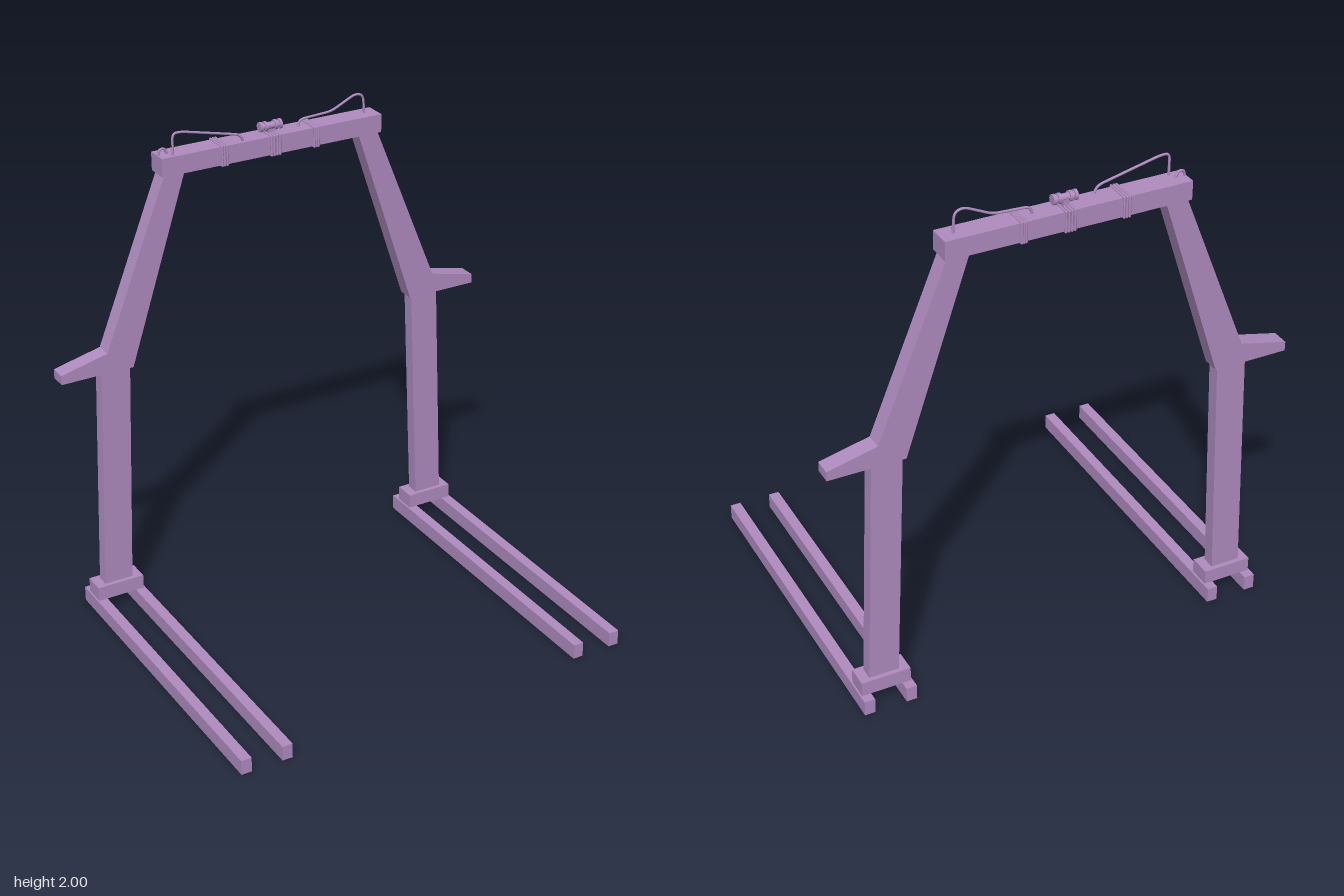
import * as THREE from 'three';

const Z = -0.603; // plane of the arch
const material = new THREE.MeshStandardMaterial({ color: 0xb08cc0, flatShading: true });
const smooth = new THREE.MeshStandardMaterial({ color: 0xb08cc0 });

function add(parent, name, geometry, mat = material) {
  const mesh = new THREE.Mesh(geometry, mat);
  mesh.name = name;
  parent.add(mesh);
  return mesh;
}

function box(parent, name, w, h, d, x, y, z) {
  add(parent, name, new THREE.BoxGeometry(w, h, d)).position.set(x, y, z);
}

// Flat outline in x/y given thickness about the arch plane
function plate(parent, name, points, depth, side) {
  const outline = points.map(([x, y]) => new THREE.Vector2(x * side, y));
  const g = new THREE.ExtrudeGeometry(new THREE.Shape(outline), { depth, bevelEnabled: false });
  g.translate(0, 0, Z - depth / 2);
  add(parent, name, g);
}

// Thin cable through points, with rounded bends
function cable(parent, name, points, z, radius) {
  const pts = points.map(([x, y]) => new THREE.Vector3(x, y, z));
  const path = new THREE.CurvePath();
  let last = pts[0];
  for (let i = 1; i < pts.length - 1; i++) {
    const p = pts[i];
    const bend = (q) => p.clone().lerp(q, Math.min(0.45, 0.025 / p.distanceTo(q)));
    const a = bend(pts[i - 1]), b = bend(pts[i + 1]);
    path.add(new THREE.LineCurve3(last, a));
    path.add(new THREE.QuadraticBezierCurve3(a, p, b));
    last = b;
  }
  path.add(new THREE.LineCurve3(last, pts[pts.length - 1]));
  add(parent, name, new THREE.TubeGeometry(path, 60, radius, 8), smooth);
}

// Rope loops wound around the beam
function wrap(parent, x, loops, pitch) {
  const group = new THREE.Group();
  group.name = 'ropeWrap';
  const r = 0.005, h = 0.039, d = 0.049;
  for (let i = 0; i < loops; i++) {
    const lx = x + (i - (loops - 1) / 2) * pitch;
    for (const s of [-1, 1]) {
      const across = add(group, 'ropeAcross', new THREE.CylinderGeometry(r, r, d * 2, 8), smooth);
      across.rotation.x = Math.PI / 2;
      across.position.set(lx, 1.8725 + s * h, Z);
      const down = add(group, 'ropeDown', new THREE.CylinderGeometry(r, r, h * 2, 8), smooth);
      down.position.set(lx, 1.8725, Z + s * d);
      for (const t of [-1, 1]) {
        const corner = add(group, 'ropeCorner', new THREE.SphereGeometry(r, 8, 6), smooth);
        corner.position.set(lx, 1.8725 + s * h, Z + t * d);
      }
    }
  }
  parent.add(group);
}

export function createModel() {
  const model = new THREE.Group();
  model.name = 'gantryFrame';

  // Each side: two floor rails, foot, leaning leg and upper arm with bracket
  for (const side of [-1, 1]) {
    const half = new THREE.Group();
    half.name = side > 0 ? 'leftSide' : 'rightSide';
    for (const x of [0.657, 0.828]) box(half, 'floorRail', 0.043, 0.062, 1.37, side * x, 0.031, 0);
    box(half, 'foot', 0.2, 0.06, 0.09, side * 0.743, 0.092, Z);
    plate(half, 'lowerLeg', [[0.683, 0.12], [0.804, 0.12], [0.768, 1.075], [0.646, 1.075]], 0.054, side);
    plate(half, 'upperArm', [
      [0.635, 1.07], [0.94, 1.07], [0.94, 1.108], [0.743, 1.155], [0.47, 1.837], [0.384, 1.837],
    ], 0.07, side);
    model.add(half);
  }

  // Top beam with rope wraps
  box(model, 'topBeam', 0.964, 0.075, 0.092, 0, 1.8725, Z);
  wrap(model, -0.217, 3, 0.011);
  wrap(model, 0.005, 4, 0.012);
  wrap(model, 0.185, 3, 0.009);

  // Small spool on the centre of the beam
  const spool = new THREE.Group();
  spool.name = 'spool';
  const disc = (name, r, w, x) => {
    const m = add(spool, name, new THREE.CylinderGeometry(r, r, w, 16));
    m.rotation.z = Math.PI / 2;
    m.position.x = x;
  };
  disc('spoolCore', 0.014, 0.09, 0);
  for (const x of [-0.042, -0.022, 0.022, 0.042]) disc('spoolFlange', 0.02, 0.011, x);
  spool.position.set(0.004, 1.94, Z + 0.004);
  model.add(spool);
  box(model, 'spoolStand', 0.022, 0.03, 0.022, 0.004, 1.92, Z);

  // Loose cables along the beam
  cable(model, 'rightCable', [[-0.427, 1.905], [-0.427, 1.996], [-0.39, 1.997], [-0.14, 1.938], [-0.125, 1.905]], -0.574, 0.005);
  cable(model, 'leftCable', [[0.128, 1.905], [0.138, 1.938], [0.28, 1.945], [0.39, 1.997], [0.425, 1.985], [0.43, 1.905]], Z, 0.005);
  cable(model, 'cableHook', [[-0.478, 1.905], [-0.472, 1.932], [-0.45, 1.934], [-0.437, 1.905]], -0.6, 0.005);
  return model;
}
